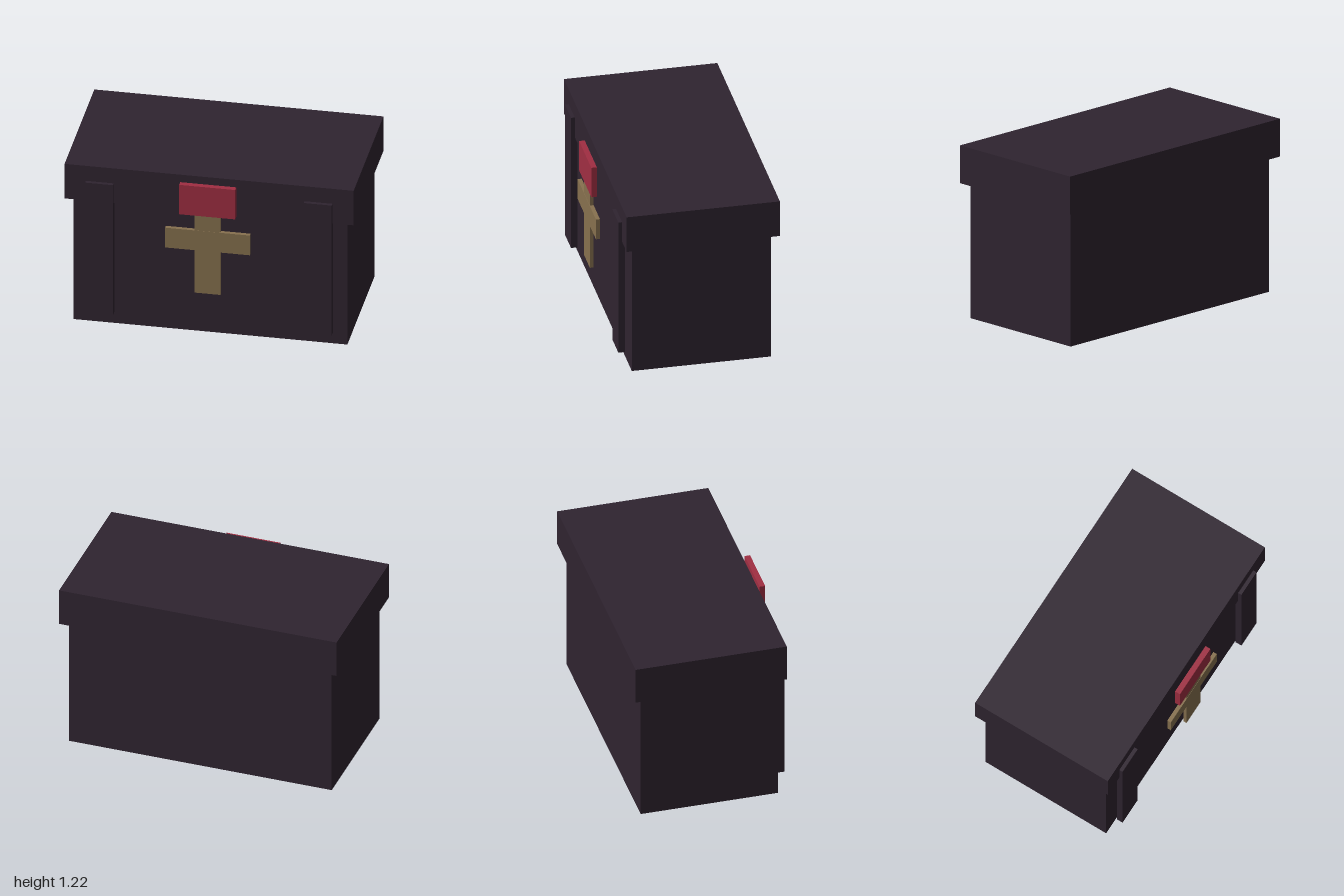
import * as THREE from 'three';

export function createModel() {
  const model = new THREE.Group();
  model.name = 'chest';

  const darkWood = new THREE.MeshStandardMaterial({ color: 0x2f2430 });
  darkWood.name = 'dark wood';
  const red = new THREE.MeshStandardMaterial({ color: 0xa02e42 });
  red.name = 'red';
  const tan = new THREE.MeshStandardMaterial({ color: 0x87714f });
  tan.name = 'tan';

  // Box given by its extents along each axis
  function addBox(name, material, [x0, x1], [y0, y1], [z0, z1]) {
    const mesh = new THREE.Mesh(new THREE.BoxGeometry(x1 - x0, y1 - y0, z1 - z0), material);
    mesh.position.set((x0 + x1) / 2, (y0 + y1) / 2, (z0 + z1) / 2);
    mesh.name = name;
    model.add(mesh);
  }

  // Chest body and overhanging lid
  addBox('body', darkWood, [-0.947, 0.947], [0, 0.956], [-0.518, 0.45]);
  addBox('lid', darkWood, [-1, 1], [0.956, 1.224], [-0.568, 0.497]);

  // Upright straps on the front
  addBox('leftStrap', darkWood, [0.66, 0.853], [0.1, 1.108], [0.477, 0.523]);
  addBox('rightStrap', darkWood, [-0.853, -0.66], [0.1, 1.108], [0.477, 0.523]);

  // Clasp plate
  addBox('clasp', red, [-0.194, 0.194], [0.956, 1.184], [0.529, 0.568]);

  // Cross standing off the front, hanging below the clasp
  addBox('crossUpright', tan, [-0.09, 0.09], [0.352, 0.956], [0.53, 0.555]);
  addBox('crossBar', tan, [-0.293, 0.293], [0.682, 0.835], [0.529, 0.557]);

  return model;
}
